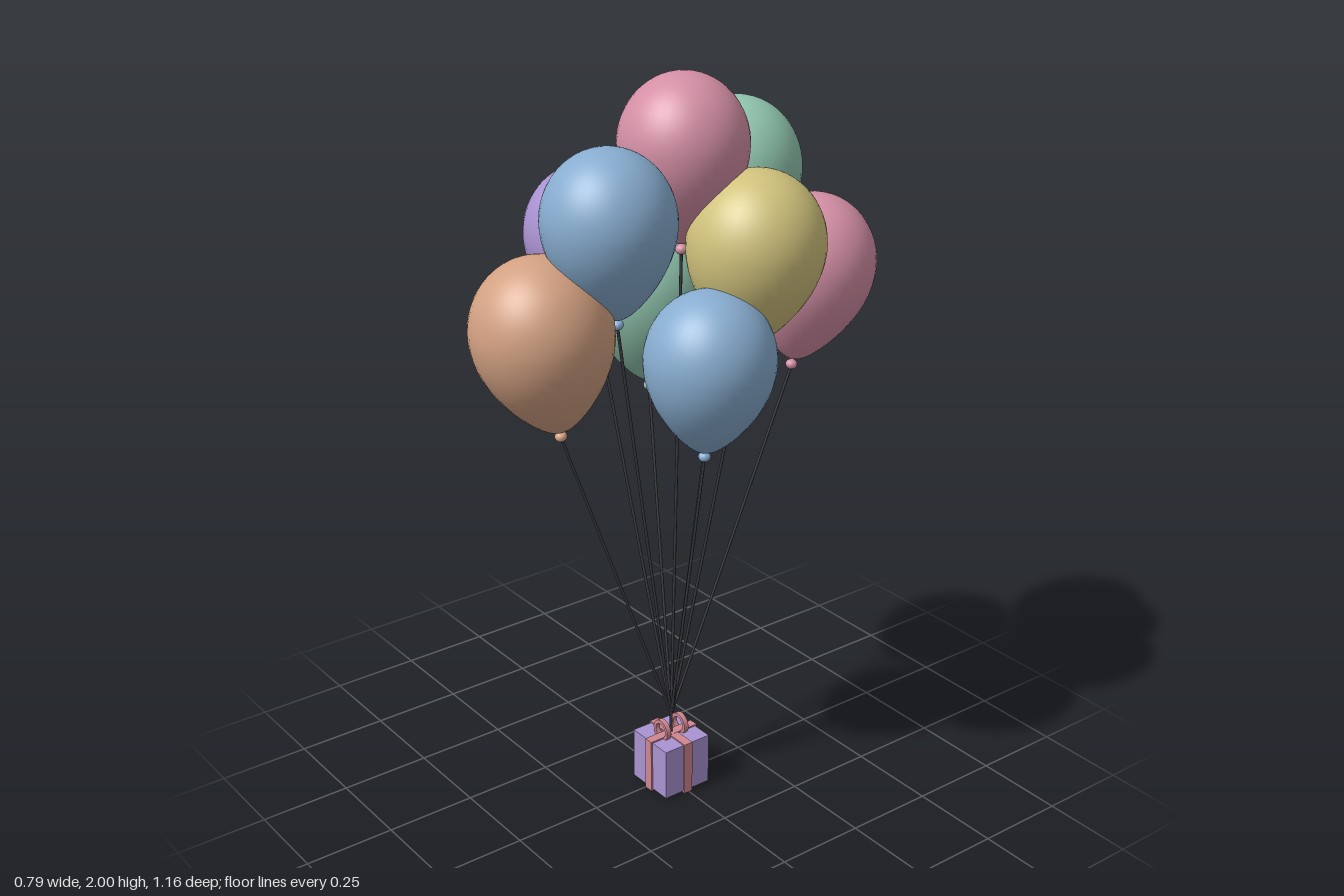
import * as THREE from 'three';

const mat = (name, color) => {
  const m = new THREE.MeshStandardMaterial({ color });
  m.name = name;
  return m;
};

export function createModel() {
  const model = new THREE.Group();
  model.name = 'balloonBunch';

  const pink = mat('pink', 0xd48fa5);
  const green = mat('green', 0x90c5ae);
  const blue = mat('blue', 0x88add0);
  const purple = mat('purple', 0xaa93d2);
  const yellow = mat('yellow', 0xd0c27c);
  const orange = mat('orange', 0xd3a182);
  const ribbonPink = mat('ribbonPink', 0xcf8791);
  const stringGrey = mat('stringGrey', 0x3c3c42);

  const add = (parent, name, geometry, material, x = 0, y = 0, z = 0) => {
    const mesh = new THREE.Mesh(geometry, material);
    mesh.name = name;
    mesh.position.set(x, y, z);
    parent.add(mesh);
    return mesh;
  };

  // Unit balloon profile: tapered lower half, rounded top half
  const profile = [];
  for (let i = 0; i <= 32; i++) {
    const t = -Math.PI / 2 + (i / 32) * Math.PI;
    const s = Math.sin(t);
    const r = Math.cos(t) * (s < 0 ? 1 - 0.38 * s * s : 1);
    profile.push(new THREE.Vector2(Math.max(r, 0), s * (s < 0 ? 1.54 : 1.08)));
  }
  const balloonGeo = new THREE.LatheGeometry(profile, 40);
  const knotGeo = new THREE.SphereGeometry(0.016, 14, 10);
  knotGeo.scale(1, 0.85, 1);

  const up = new THREE.Vector3(0, 1, 0);
  const tie = new THREE.Vector3(0.012, 0.215, 0.002);

  const addString = (from, to) => {
    const dir = to.clone().sub(from);
    const mid = from.clone().add(to).multiplyScalar(0.5);
    const s = add(model, 'string', new THREE.CylinderGeometry(0.004, 0.004, dir.length(), 8),
      stringGrey, mid.x, mid.y, mid.z);
    s.quaternion.setFromUnitVectors(up, dir.normalize());
  };

  // Balloons: material, centre x, top y, centre z, radius; each leans outwards
  const balloons = [
    [orange, 0.023, 1.62, 0.4, 0.177],
    [purple, -0.18, 1.75, 0.118, 0.165],
    [blue, 0.094, 1.872, 0.25, 0.165],
    [blue, 0.227, 1.517, 0.047, 0.165],
    [yellow, 0.185, 1.777, -0.127, 0.174],
    [pink, 0.07, 1.64, -0.408, 0.171],
    [green, -0.225, 1.57, -0.095, 0.172],
    [green, -0.06, 1.89, -0.258, 0.171],
    [pink, 0.028, 2.0, -0.022, 0.164],
  ];
  for (const [material, x, top, z, r] of balloons) {
    const balloon = new THREE.Group();
    balloon.name = 'balloon';
    balloon.position.set(x, top - 1.08 * r, z);
    const axis = new THREE.Vector3(x * 0.44, 1, z * 0.44).normalize();
    balloon.quaternion.setFromUnitVectors(up, axis);
    add(balloon, 'balloonBody', balloonGeo, material).scale.setScalar(r);
    add(balloon, 'balloonKnot', knotGeo, material, 0, -1.63 * r, 0);
    model.add(balloon);
    addString(tie, balloon.position.clone().addScaledVector(axis, -1.66 * r));
  }

  // Gift box with two ribbon bands wrapped round it
  const gift = new THREE.Group();
  gift.name = 'gift';
  gift.position.set(0.013, 0, 0.003);
  model.add(gift);
  const size = 0.148, band = 0.027, wrap = 0.158;
  add(gift, 'giftBox', new THREE.BoxGeometry(size, size, size), purple, 0, 0.081, 0);
  add(gift, 'ribbonBandFront', new THREE.BoxGeometry(band, wrap, wrap), ribbonPink, 0, 0.08, 0);
  add(gift, 'ribbonBandSide', new THREE.BoxGeometry(wrap, wrap - 0.001, band), ribbonPink, 0, 0.08, 0);

  // Bow: two upright ribbon loops
  const loop = new THREE.Shape().absarc(0, 0, 0.031, 0, Math.PI * 2);
  loop.holes.push(new THREE.Path().absarc(0, 0, 0.021, 0, Math.PI * 2, true));
  const loopGeo = new THREE.ExtrudeGeometry(loop, { depth: 0.014, bevelEnabled: false, curveSegments: 20 });
  loopGeo.translate(0, 0, -0.007);
  for (const side of [-1, 1]) {
    add(gift, 'bowLoop', loopGeo, ribbonPink, 0, 0.175, side * 0.03);
  }

  // Stem from the bow up to where the strings meet
  addString(new THREE.Vector3(0.012, 0.155, 0.002), tie);

  return model;
}
